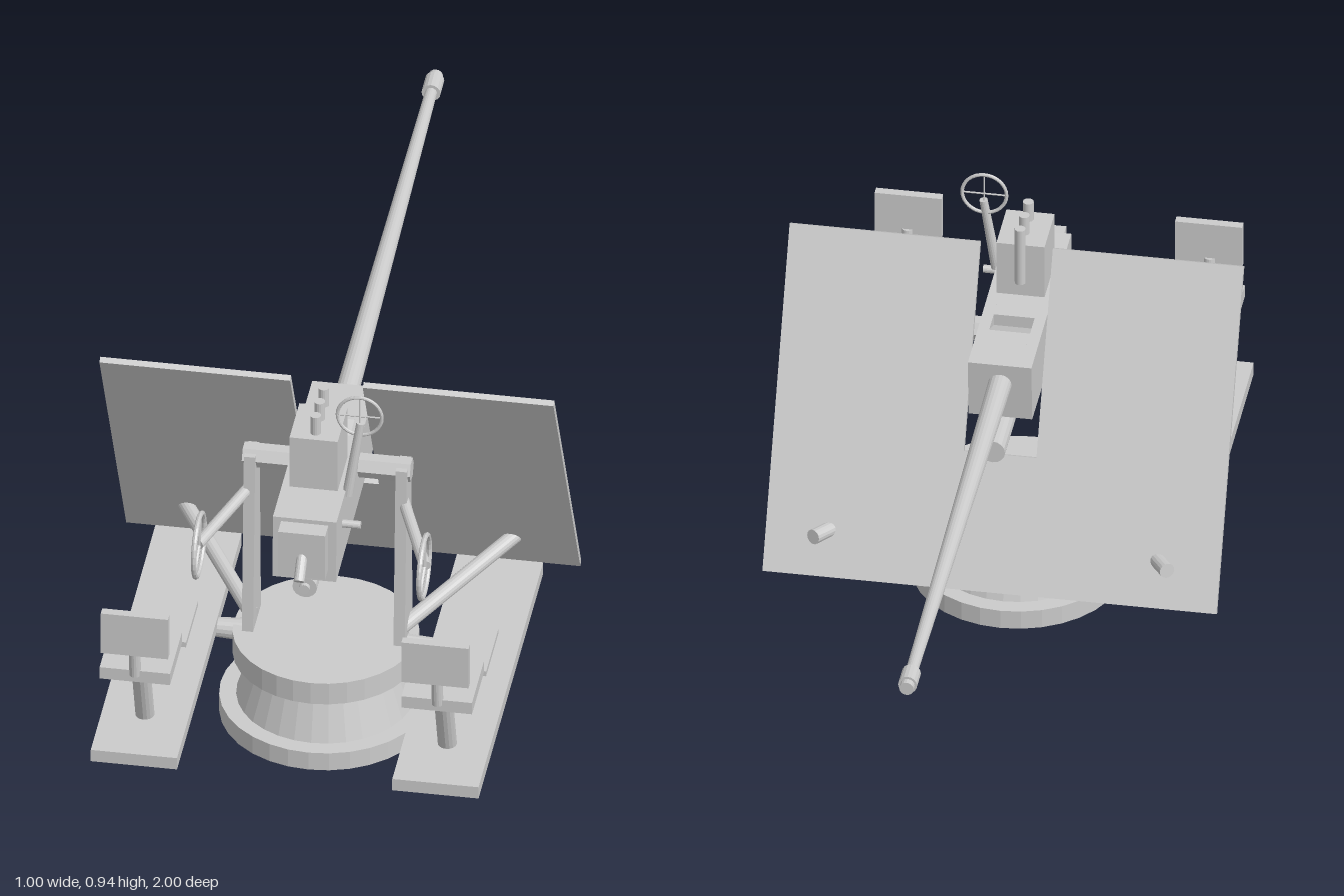
import * as THREE from 'three';

const grey = new THREE.MeshStandardMaterial({ color: 0xcccccc, flatShading: true });

export function createModel() {
  const model = new THREE.Group();

  const add = (name, geometry, parent = model) => {
    const mesh = new THREE.Mesh(geometry, grey);
    mesh.name = name;
    parent.add(mesh);
    return mesh;
  };

  // Box given by its minimum and maximum corners
  const box = (name, a, b, parent) => {
    const mesh = add(name, new THREE.BoxGeometry(b[0] - a[0], b[1] - a[1], b[2] - a[2]), parent);
    mesh.position.set((a[0] + b[0]) / 2, (a[1] + b[1]) / 2, (a[2] + b[2]) / 2);
    return mesh;
  };

  // Round bar from a to b, radius r0 at a and r1 at b
  const bar = (name, a, b, r0, r1 = r0, parent = model, sides = 16) => {
    const from = new THREE.Vector3(...a);
    const dir = new THREE.Vector3(...b).sub(from);
    const mesh = add(name, new THREE.CylinderGeometry(r1, r0, dir.length(), sides), parent);
    mesh.position.copy(from).addScaledVector(dir, 0.5);
    mesh.quaternion.setFromUnitVectors(new THREE.Vector3(0, 1, 0), dir.normalize());
    return mesh;
  };

  // Side profile in (z, y), extruded across x and centred on the given x
  const profile = (name, points, x, width, parent) => {
    const shape = new THREE.Shape(points.map(([z, y]) => new THREE.Vector2(z, y)));
    const geometry = new THREE.ExtrudeGeometry(shape, { depth: width, bevelEnabled: false });
    geometry.translate(0, 0, -width / 2);
    geometry.rotateY(-Math.PI / 2);
    const mesh = add(name, geometry, parent);
    mesh.position.x = x;
    return mesh;
  };

  // Pedestal
  const pedestal = new THREE.Group();
  pedestal.name = 'pedestal';
  pedestal.position.z = 0.455;
  model.add(pedestal);
  const disc = (name, y0, y1, r0, r1) => {
    add(name, new THREE.CylinderGeometry(r1, r0, y1 - y0, 32), pedestal).position.y = (y0 + y1) / 2;
  };
  disc('baseFlange', 0, 0.045, 0.232, 0.232);
  disc('baseCone', 0.045, 0.155, 0.195, 0.16);
  disc('turntable', 0.155, 0.21, 0.203, 0.203);

  // Tilted shield with a slot for the gun
  const slotBottom = 0.303, height = 0.763;
  const outline = [[-0.5, 0], [0.5, 0], [0.5, height], [0.08, height], [0.08, slotBottom],
    [-0.08, slotBottom], [-0.08, height], [-0.5, height]];
  const shield = add('shield', new THREE.ExtrudeGeometry(
    new THREE.Shape(outline.map(p => new THREE.Vector2(...p))), { depth: 0.014, bevelEnabled: false }));
  shield.rotation.x = Math.atan2(0.355, 0.675);
  shield.position.set(0, 0.19, 0.08);

  // Mirrored parts: platform, seat, pedals, supports and hand wheels
  for (const s of [-1, 1]) {
    const side = new THREE.Group();
    side.name = s > 0 ? 'leftStation' : 'rightStation';
    model.add(side);
    const slab = (name, x0, x1, y0, y1, z0, z1) =>
      box(name, [Math.min(s * x0, s * x1), y0, z0], [Math.max(s * x0, s * x1), y1, z1], side);
    const rod = (name, a, b, r0, r1) =>
      bar(name, [s * a[0], a[1], a[2]], [s * b[0], b[1], b[2]], r0, r1, side);

    slab('platform', 0.237, 0.427, 0.192, 0.222, 0.145, 1);
    rod('platformArm', [0.17, 0.19, 0.455], [0.42, 0.19, 0.455], 0.026, 0.012);

    const x = 0.333;
    rod('seatPost', [x, 0.215, 0.845], [x, 0.41, 0.91], 0.021);
    slab('seat', 0.255, 0.41, 0.404, 0.434, 0.825, 0.985);
    rod('backrestPost', [x, 0.42, 0.978], [x, 0.5, 0.985], 0.013);
    slab('backrest', 0.257, 0.405, 0.483, 0.588, 0.98, 1);

    rod('footrestStrut', [x, 0.215, 0.54], [x, 0.305, 0.63], 0.014);
    slab('footrest', 0.268, 0.393, 0.3, 0.313, 0.535, 0.695);

    profile('gunSupport', [[0.49, 0.2], [0.385, 0.2], [0.402, 0.655], [0.462, 0.655]], s * 0.167, 0.025, side);
    rod('shieldBrace', [0.165, 0.232, 0.45], [0.39, 0.285, 0.09], 0.017);

    // Hand wheel in the y-z plane with three spokes
    const wheel = new THREE.Group();
    wheel.name = 'handWheel';
    wheel.position.set(s * 0.248, 0.54, 0.645);
    wheel.rotation.y = Math.PI / 2;
    side.add(wheel);
    add('wheelRim', new THREE.TorusGeometry(0.07, 0.006, 8, 28), wheel);
    for (let i = 0; i < 3; i++) {
      const a = Math.PI / 2 + i * Math.PI * 2 / 3;
      bar('wheelSpoke', [0, 0, 0], [0.07 * Math.cos(a), 0.07 * Math.sin(a), 0], 0.005, 0.005, wheel, 8);
    }
    rod('wheelShaft', [0.25, 0.542, 0.645], [0.168, 0.565, 0.44], 0.013);
  }

  // Gun
  const gun = new THREE.Group();
  gun.name = 'gun';
  model.add(gun);
  bar('trunnion', [-0.185, 0.64, 0.43], [0.185, 0.64, 0.43], 0.027, 0.027, gun, 6);

  // Receiver: solid cheeks and a middle with a sloped top port
  const back = [0.735, 0.7], front = [0.215, 0.697];
  const lower = [[0.225, 0.556], [0.43, 0.552], [0.74, 0.545]];
  for (const s of [-1, 1]) profile('receiverCheek', [back, front, ...lower], s * 0.0575, 0.025, gun);
  profile('receiverMiddle', [back, [0.405, 0.698], [0.405, 0.67], [0.345, 0.698], front, ...lower], 0, 0.09, gun);
  box('breechPlate', [-0.052, 0.575, 0.73], [0.052, 0.69, 0.776], gun);
  bar('breechHandle', [0, 0.63, 0.765], [0, 0.587, 0.81], 0.012, 0.012, gun);
  bar('sidePeg', [0.06, 0.642, 0.655], [0.11, 0.642, 0.655], 0.009, 0.009, gun);

  bar('barrel', [0, 0.645, 0.23], [0, 0.667, -0.95], 0.026, 0.013, gun, 20);
  bar('muzzleCollar', [0, 0.666, -0.935], [0, 0.667, -0.985], 0.021, 0.021, gun);
  bar('muzzleTip', [0, 0.667, -0.98], [0, 0.667, -1], 0.016, 0.016, gun);
  bar('recoilCylinder', [0, 0.52, 0.735], [0, 0.53, 0.125], 0.027, 0.027, gun);
  bar('recoilRod', [0, 0.52, 0.73], [0, 0.52, 0.745], 0.012, 0.012, gun);

  // Feed box with three upright rounds
  box('feedBox', [-0.053, 0.69, 0.487], [0.053, 0.83, 0.617], gun);
  for (const z of [0.483, 0.536, 0.589]) bar('round', [0, 0.735, z], [0, 0.876, z], 0.012, 0.012, gun);

  // Ring sight with crossed wires
  bar('sightArm', [0.073, 0.685, 0.605], [0.099, 0.868, 0.591], 0.012, 0.009, gun);
  const sight = new THREE.Group();
  sight.name = 'ringSight';
  sight.position.set(0.097, 0.885, 0.59);
  gun.add(sight);
  add('sightRing', new THREE.TorusGeometry(0.049, 0.004, 8, 32), sight);
  bar('sightWire', [-0.049, 0, 0], [0.049, 0, 0], 0.002, 0.002, sight, 6);
  bar('sightWire', [0, -0.049, 0], [0, 0.049, 0], 0.002, 0.002, sight, 6);

  return model;
}
